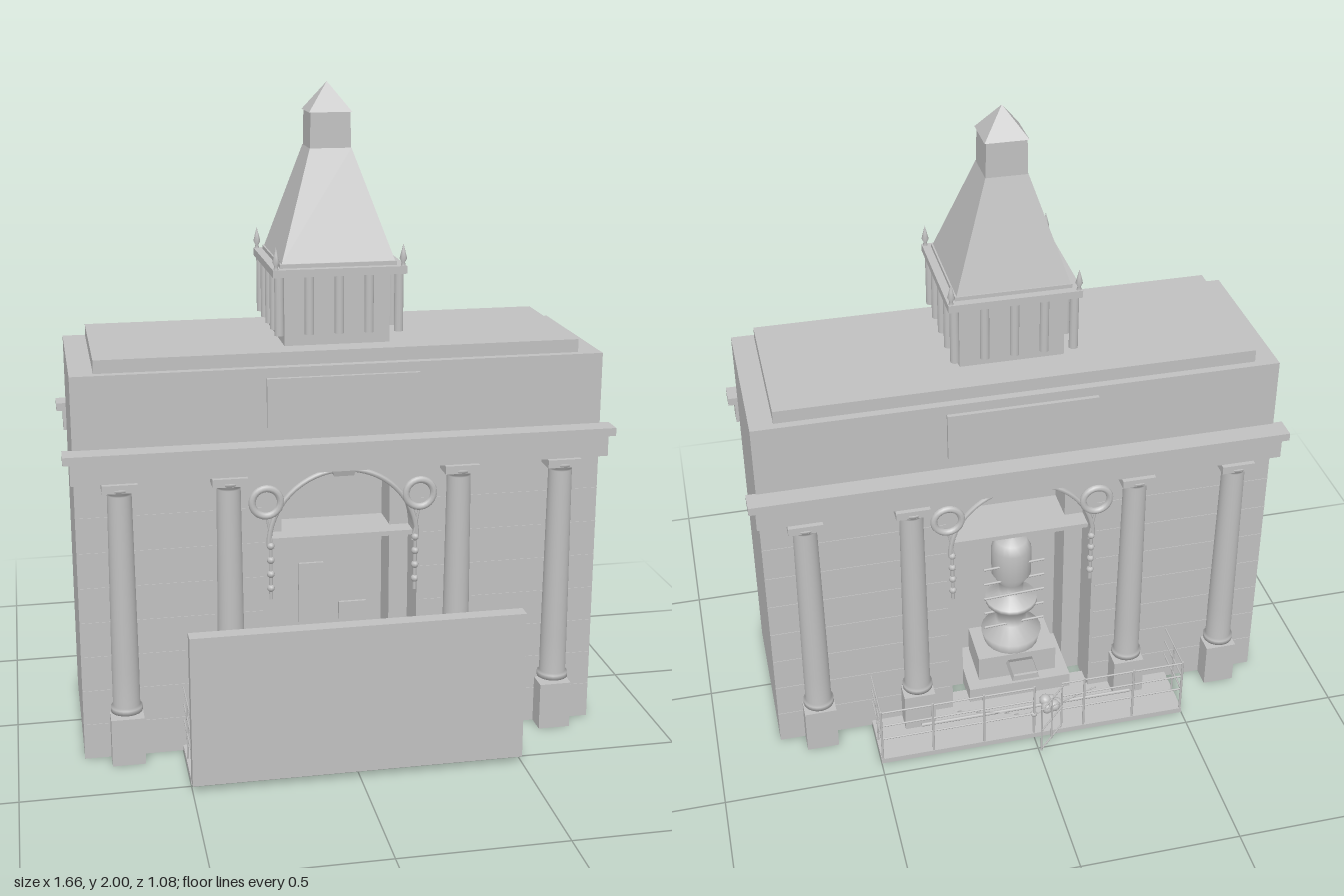
import * as THREE from 'three';

const stone = new THREE.MeshStandardMaterial({ color: 0xc0c0c0 });
stone.name = 'grey stone';
stone.side = THREE.DoubleSide;

function add(parent, name, geo, x = 0, y = 0, z = 0) {
  const m = new THREE.Mesh(geo, stone);
  m.name = name;
  m.position.set(x, y, z);
  parent.add(m);
  return m;
}

// box given by its extents
function box(parent, name, x0, x1, y0, y1, z0, z1) {
  return add(parent, name, new THREE.BoxGeometry(x1 - x0, y1 - y0, z1 - z0),
    (x0 + x1) / 2, (y0 + y1) / 2, (z0 + z1) / 2);
}

// straight round bar between two points
function bar(parent, name, a, b, r = 0.003) {
  const p = new THREE.Vector3(...a), q = new THREE.Vector3(...b);
  const m = add(parent, name, new THREE.CylinderGeometry(r, r, p.distanceTo(q), 6));
  m.position.copy(p).lerp(q, 0.5);
  m.quaternion.setFromUnitVectors(new THREE.Vector3(0, 1, 0), q.sub(p).normalize());
  return m;
}

function lathe(parent, name, pts, x, y, z, n = 20) {
  return add(parent, name, new THREE.LatheGeometry(pts.map(p => new THREE.Vector2(...p)), n), x, y, z);
}

// square frustum, its top may be shifted along z
function frustum(parent, name, y0, h0, z0, y1, h1, z1) {
  const ring = (h, y, z) => [[-h, y, z + h], [h, y, z + h], [h, y, z - h], [-h, y, z - h]];
  const a = ring(h0, y0, z0), b = ring(h1, y1, z1), v = [];
  for (let i = 0; i < 4; i++) {
    const j = (i + 1) % 4;
    v.push(...a[i], ...a[j], ...b[j], ...a[i], ...b[j], ...b[i]);
  }
  const g = new THREE.BufferGeometry();
  g.setAttribute('position', new THREE.Float32BufferAttribute(v, 3));
  g.computeVertexNormals();
  return add(parent, name, g);
}

// wall layer with an arched opening down to the ground
function archedWall(parent, name, half, z0, z1) {
  const R = 0.23, c = 0.65, s = new THREE.Shape();
  const a = Math.acos(half / R);
  s.moveTo(-0.8, 0);
  s.lineTo(-half, 0);
  s.lineTo(-half, c + R * Math.sin(a));
  s.absarc(0, c, R, Math.PI - a, a, true);
  s.lineTo(half, 0);
  s.lineTo(0.8, 0);
  s.lineTo(0.8, 1.2);
  s.lineTo(-0.8, 1.2);
  add(parent, name, new THREE.ExtrudeGeometry(s, { depth: z1 - z0, bevelEnabled: false, curveSegments: 24 }), 0, 0, z0);
}

function column(parent, x) {
  const z = 0.295;
  box(parent, 'pedestal', x - 0.05, x + 0.05, 0, 0.15, 0.26, 0.335);
  frustum(parent, 'pedestalCap', 0.15, 0.045, z - 0.005, 0.17, 0.04, z);
  lathe(parent, 'column', [[0, 0.165], [0.048, 0.165], [0.048, 0.18], [0.041, 0.185], [0.041, 0.3],
    [0.036, 0.85], [0.036, 0.855], [0.048, 0.868], [0.048, 0.875], [0, 0.875]], x, 0, z, 24);
  box(parent, 'capital', x - 0.052, x + 0.052, 0.865, 0.89, 0.26, 0.34);
}

// one long side: portico, niche, railings
function facade(name, railZ) {
  const g = new THREE.Group();
  g.name = name;
  archedWall(g, 'outerWall', 0.23, 0.15, 0.27);
  archedWall(g, 'innerWall', 0.17, 0.04, 0.15);
  box(g, 'transom', -0.23, 0.23, 0.635, 0.65, 0.04, 0.21);
  frustum(g, 'keystone', 0.86, 0.03, 0.25, 0.89, 0.04, 0.25);
  add(g, 'archMoulding', new THREE.TorusGeometry(0.228, 0.008, 6, 32, Math.PI), 0, 0.65, 0.27);
  for (const x of [-0.67, -0.35, 0.35, 0.67]) column(g, x);
  box(g, 'entablature', -0.81, 0.81, 0.89, 0.955, 0.265, 0.325);
  box(g, 'cornice', -0.83, 0.83, 0.955, 0.98, 0.265, 0.335);
  box(g, 'plaque', -0.23, 0.23, 1.02, 1.17, 0.265, 0.283);
  for (const s of [-1, 1]) {
    // stone courses
    for (let i = 1; i < 8; i++)
      box(g, 'course', s > 0 ? 0.24 : -0.8, s > 0 ? 0.8 : -0.24, i * 0.11, i * 0.11 + 0.003, 0.268, 0.272);
    // wreath with hanging ribbon
    add(g, 'wreath', new THREE.TorusGeometry(0.043, 0.011, 8, 24), s * 0.235, 0.79, 0.275);
    bar(g, 'ribbon', [s * 0.235, 0.745, 0.272], [s * 0.215, 0.64, 0.272], 0.004);
    for (let i = 0; i < 4; i++)
      add(g, 'garlandLeaf', new THREE.SphereGeometry(0.012, 8, 6), s * 0.223, 0.65 - i * 0.045, 0.272);
    bar(g, 'garland', [s * 0.223, 0.66, 0.272], [s * 0.223, 0.48, 0.272], 0.006);
    // low chain
    bar(g, 'chain', [0, 0.09, 0.44], [s * 0.24, 0.06, 0.33], 0.002);
    // end railing
    for (const y of [0.1, 0.155, 0.21]) bar(g, 'endRail', [s * 0.495, y, 0.27], [s * 0.495, y, railZ]);
    bar(g, 'railPost', [s * 0.495, 0.01, 0.36], [s * 0.495, 0.21, 0.36]);
  }
  bar(g, 'chainPost', [0, 0.01, 0.44], [0, 0.09, 0.44], 0.004);
  add(g, 'chainPostBall', new THREE.SphereGeometry(0.011, 12, 8), 0, 0.095, 0.44);
  bar(g, 'kerbBar', [-0.35, 0.04, 0.35], [0.35, 0.04, 0.35], 0.006);
  for (let i = 0; i < 7; i++) {
    const x = -0.495 + i * 0.165;
    bar(g, 'railPost', [x, 0, railZ], [x, 0.215, railZ], 0.004);
  }
  box(g, 'platform', -0.5, 0.5, 0, 0.018, 0.2, railZ + 0.005);
  return g;
}

function bouquet(parent, x, y, z) {
  for (let i = 0; i < 5; i++) {
    const a = i * 1.257;
    add(parent, 'bouquet', new THREE.SphereGeometry(0.02, 10, 8),
      x + 0.02 * Math.cos(a), y + (i % 2) * 0.012, z + 0.02 * Math.sin(a));
  }
}

export function createModel() {
  const model = new THREE.Group();
  model.name = 'monument';
  box(model, 'core', -0.8, 0.8, 0, 1.2, -0.04, 0.04);
  box(model, 'roofSlab', -0.73, 0.73, 1.2, 1.24, -0.245, 0.245);

  // front with board and wall panels
  const front = facade('front', 0.487);
  box(front, 'board', -0.5, 0.5, 0.02, 0.485, 0.495, 0.54);
  box(front, 'wallPanel', -0.1, -0.02, 0.3, 0.5, 0.04, 0.05);
  box(front, 'wallPanel', 0.03, 0.12, 0.3, 0.36, 0.04, 0.05);
  for (const y of [0.1, 0.155, 0.21]) bar(front, 'rail', [-0.495, y, 0.487], [0.495, y, 0.487]);
  bouquet(front, 0.34, 0.04, 0.37);

  // back with tiered fountain and open gate
  const back = facade('back', 0.445);
  back.rotation.y = Math.PI;
  box(back, 'fountainBase', -0.13, 0.13, 0.01, 0.16, 0.06, 0.22);
  box(back, 'fountainStep', -0.17, 0.17, 0.01, 0.07, 0.05, 0.26);
  lathe(back, 'fountain', [[0.09, 0.16], [0.1, 0.2], [0.05, 0.24], [0.05, 0.28], [0.085, 0.32], [0.085, 0.335],
    [0.04, 0.36], [0.04, 0.4], [0.065, 0.44], [0.065, 0.54], [0.05, 0.57], [0, 0.59]], 0, 0, 0.13);
  for (let i = 0; i < 5; i++)
    bar(back, 'branch', [-0.1, 0.25 + i * 0.06, 0.17], [0.1, 0.26 + i * 0.06, 0.17], 0.004);
  for (const y of [0.1, 0.155, 0.21]) {
    bar(back, 'rail', [-0.495, y, 0.445], [0, y, 0.445]);
    bar(back, 'rail', [0.09, y, 0.445], [0.495, y, 0.445]);
  }
  for (const y of [0.035, 0.115, 0.2]) bar(back, 'gateBar', [0.09, y, 0.45], [0, y, 0.54]);
  for (const t of [0, 0.5, 1])
    bar(back, 'gatePost', [0.09 - 0.09 * t, 0.03, 0.45 + 0.09 * t], [0.09 - 0.09 * t, 0.205, 0.45 + 0.09 * t]);
  bouquet(back, 0.08, 0.04, 0.355);
  model.add(front, back);

  // lantern with colonnade
  const tower = new THREE.Group();
  tower.name = 'tower';
  const cz = 0.02;
  box(tower, 'lanternCore', -0.16, 0.16, 1.24, 1.46, cz - 0.15, cz + 0.15);
  for (let i = -2; i <= 2; i++)
    for (const s of [-1, 1]) {
      const post = () => new THREE.CylinderGeometry(0.014, 0.014, 0.18, 12);
      add(tower, 'lanternPost', post(), i * 0.09, 1.37, cz + s * 0.18);
      if (Math.abs(i) < 2) add(tower, 'lanternPost', post(), s * 0.18, 1.37, cz + i * 0.09);
    }
  box(tower, 'lanternCornice', -0.2, 0.2, 1.455, 1.478, cz - 0.2, cz + 0.2);
  box(tower, 'spireFoot', -0.175, 0.175, 1.478, 1.49, cz - 0.175, cz + 0.175);
  for (const x of [-0.19, 0.19])
    for (const z of [-0.19, 0.19])
      lathe(tower, 'finial', [[0.008, 0], [0.005, 0.012], [0.011, 0.024], [0.006, 0.045], [0, 0.068]], x, 1.476, cz + z, 10);

  // spire
  frustum(tower, 'spire', 1.49, 0.17, cz, 1.81, 0.063, 0);
  frustum(tower, 'spireShaft', 1.8, 0.062, 0, 1.92, 0.06, 0);
  frustum(tower, 'spireCap', 1.915, 0.065, 0, 2.0, 0.0005, 0);
  model.add(tower);
  return model;
}
